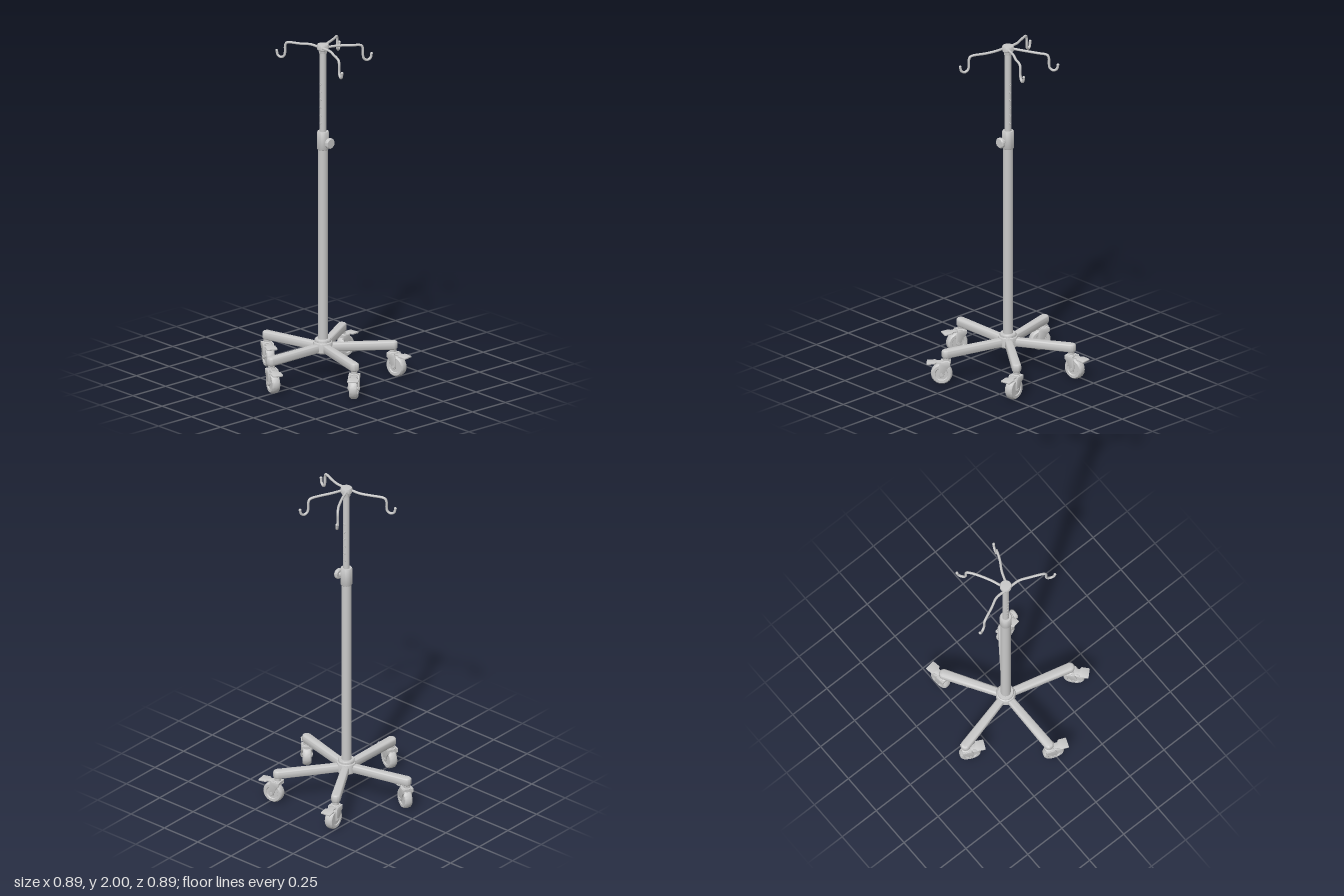
import * as THREE from 'three';
import { toCreasedNormals } from 'three/addons/utils/BufferGeometryUtils.js';

const CX = -0.028, CZ = -0.027; // pole axis

export function createModel() {
  const metal = new THREE.MeshStandardMaterial({ color: 0xc8c8c8 });
  metal.name = 'grey metal';
  const model = new THREE.Group();
  model.name = 'wheeledDripStand';

  const add = (parent, name, geo, x = 0, y = 0, z = 0) => {
    const m = new THREE.Mesh(geo, metal);
    m.name = name;
    m.position.set(x, y, z);
    parent.add(m);
    return m;
  };
  const lathe = (pts, seg = 32) => toCreasedNormals(
    new THREE.LatheGeometry(pts.map(p => new THREE.Vector2(p[0], p[1])), seg), 0.6);
  const slab = (shape, depth, bevel) => toCreasedNormals(new THREE.ExtrudeGeometry(shape, {
    depth: depth - 2 * bevel, bevelEnabled: bevel > 0, bevelSize: bevel, bevelThickness: bevel,
    bevelOffset: -bevel, bevelSegments: 4, curveSegments: 10,
  }).translate(0, 0, -depth / 2 + bevel), 0.6);

  // Telescopic pole, clamp and cap
  add(model, 'lowerPole', new THREE.CylinderGeometry(0.029, 0.029, 1.2, 32), CX, 0.79, CZ);
  add(model, 'upperPole', new THREE.CylinderGeometry(0.019, 0.019, 0.58, 32), CX, 1.69, CZ);
  add(model, 'heightClamp', lathe([[0, 1.368], [0.031, 1.368], [0.034, 1.373], [0.034, 1.47],
    [0.031, 1.476], [0, 1.476]]), CX, 0, CZ);
  add(model, 'topCap', lathe([[0, 1.945], [0.023, 1.945], [0.025, 1.962], [0.033, 1.968], [0.034, 1.992],
    [0.031, 1.998], [0, 2]]), CX, 0, CZ);
  add(model, 'hubCollar', lathe([[0, 0.152], [0.05, 0.152], [0.056, 0.16], [0.056, 0.205], [0.053, 0.213],
    [0.047, 0.216], [0.047, 0.228], [0.043, 0.234], [0, 0.234]], 40), CX, 0, CZ);

  // Clamp knob on the model's left
  const knob = add(model, 'clampKnob', lathe([[0, 0.025], [0.012, 0.025], [0.012, 0.047], [0.026, 0.047],
    [0.031, 0.052], [0.031, 0.064], [0.026, 0.07], [0, 0.071]]), CX, 1.416, CZ);
  knob.rotation.z = -Math.PI / 2;

  // Height adjustment holes, front and back
  for (const side of [1, -1]) {
    for (let i = 0; i < 6; i++) {
      const ring = add(model, 'adjustmentHole', new THREE.TorusGeometry(0.006, 0.002, 6, 14),
        CX, 1.527 + i * 0.047, CZ + side * 0.0185);
      if (side < 0) ring.rotation.y = Math.PI;
    }
  }

  // Hanging hooks: [x, z] of root, straight end, bend and tip
  const hooks = [
    [[-0.015, -0.009], [0.052, -0.007], [0.11, 0.014], [0.25, 0.075]],
    [[-0.041, -0.009], [-0.112, -0.007], [-0.17, 0.021], [-0.303, 0.08]],
    [[-0.015, -0.035], [0.012, -0.11], [0.05, -0.176], [0.096, -0.287]],
    [[-0.041, -0.035], [-0.07, -0.11], [-0.115, -0.196], [-0.176, -0.284]],
  ];
  for (const [a, b, c, t] of hooks) {
    const len = Math.hypot(t[0] - c[0], t[1] - c[1]);
    const dx = (t[0] - c[0]) / len, dz = (t[1] - c[1]) / len;
    const back = (d, y) => new THREE.Vector3(t[0] - dx * d, y, t[1] - dz * d);
    const path = new THREE.CatmullRomCurve3([
      new THREE.Vector3(a[0], 1.98, a[1]),
      new THREE.Vector3(b[0], 1.98, b[1]),
      new THREE.Vector3(c[0], 1.976, c[1]),
      back(0.075, 1.974), back(0.06, 1.968), back(0.053, 1.952), back(0.052, 1.91),
      back(0.046, 1.89), back(0.027, 1.879), back(0.007, 1.889), back(0, 1.915),
    ]);
    add(model, 'hangingHook', new THREE.TubeGeometry(path, 70, 0.0075, 10));
    add(model, 'hookTip', new THREE.SphereGeometry(0.0085, 12, 8), t[0], 1.915, t[1]);
  }

  // Wheel profile, turned around its axle
  const wheelGeo = lathe([[0, -0.019], [0.034, -0.019], [0.038, -0.024], [0.053, -0.024], [0.06, -0.016],
    [0.062, 0], [0.06, 0.016], [0.053, 0.024], [0.038, 0.024], [0.034, 0.019], [0, 0.019]], 36)
    .rotateX(Math.PI / 2);

  // Fork cheek, tapering from the swivel to the axle
  const cheek = new THREE.Shape();
  cheek.moveTo(-0.024, 0.138);
  cheek.lineTo(0.03, 0.138);
  cheek.quadraticCurveTo(0.046, 0.11, 0.042, 0.062);
  cheek.absarc(0.026, 0.062, 0.016, 0, -Math.PI, true);
  cheek.quadraticCurveTo(0.004, 0.092, -0.024, 0.115);
  cheek.closePath();
  const cheekGeo = slab(cheek, 0.008, 0.002);

  // Flared brake pedal outline
  const pedal = new THREE.Shape();
  pedal.moveTo(0.02, -0.018);
  pedal.lineTo(0.055, -0.018);
  pedal.lineTo(0.064, -0.031);
  pedal.lineTo(0.106, -0.031);
  pedal.quadraticCurveTo(0.112, -0.031, 0.112, -0.025);
  pedal.lineTo(0.112, 0.025);
  pedal.quadraticCurveTo(0.112, 0.031, 0.106, 0.031);
  pedal.lineTo(0.064, 0.031);
  pedal.lineTo(0.055, 0.018);
  pedal.lineTo(0.02, 0.018);
  const pedalGeo = slab(pedal, 0.009, 0.002).rotateX(-Math.PI / 2);

  function makeCaster() {
    const g = new THREE.Group();
    g.name = 'caster';
    add(g, 'swivelStem', lathe([[0, 0.122], [0.026, 0.122], [0.026, 0.14], [0.019, 0.143], [0.019, 0.165], [0, 0.165]], 24));
    add(g, 'wheel', wheelGeo, 0.026, 0.062, 0);
    for (const s of [1, -1]) add(g, 'forkCheek', cheekGeo, 0, 0, s * 0.028);
    add(g, 'forkBridge', new THREE.BoxGeometry(0.054, 0.012, 0.056), 0.003, 0.132, 0);
    const axle = add(g, 'axle', new THREE.CylinderGeometry(0.009, 0.009, 0.07, 16), 0.026, 0.062, 0);
    axle.rotation.x = Math.PI / 2;
    const p = add(g, 'brakePedal', pedalGeo, 0, 0.134, 0);
    p.rotation.z = -0.08;
    return g;
  }

  // Base legs: swivel x, z and the heading x, z of each caster
  const legs = [
    [-0.03, 0.363, 0.93, 0.36],
    [0.357, 0.077, 0.68, 0.73],
    [0.21, -0.348, 0.98, -0.18],
    [-0.222, -0.345, -0.13, -0.99],
    [-0.4, 0.067, 0.9, 0.43],
  ];
  for (const [x, z, hx, hz] of legs) {
    const L = Math.hypot(x - CX, z - CZ), r = 0.027;
    const plan = new THREE.Shape();
    plan.moveTo(0, -0.022);
    plan.lineTo(L, -r);
    plan.absarc(L, 0, r, -Math.PI / 2, Math.PI / 2, false);
    plan.lineTo(0, 0.022);
    plan.closePath();
    const leg = add(model, 'baseLeg', slab(plan, 0.05, 0.014).rotateX(-Math.PI / 2), CX, 0.181, CZ);
    leg.rotation.y = Math.atan2(-(z - CZ), x - CX);
    const caster = makeCaster();
    caster.position.set(x, 0, z);
    caster.rotation.y = Math.atan2(-hz, hx);
    model.add(caster);
  }
  return model;
}
